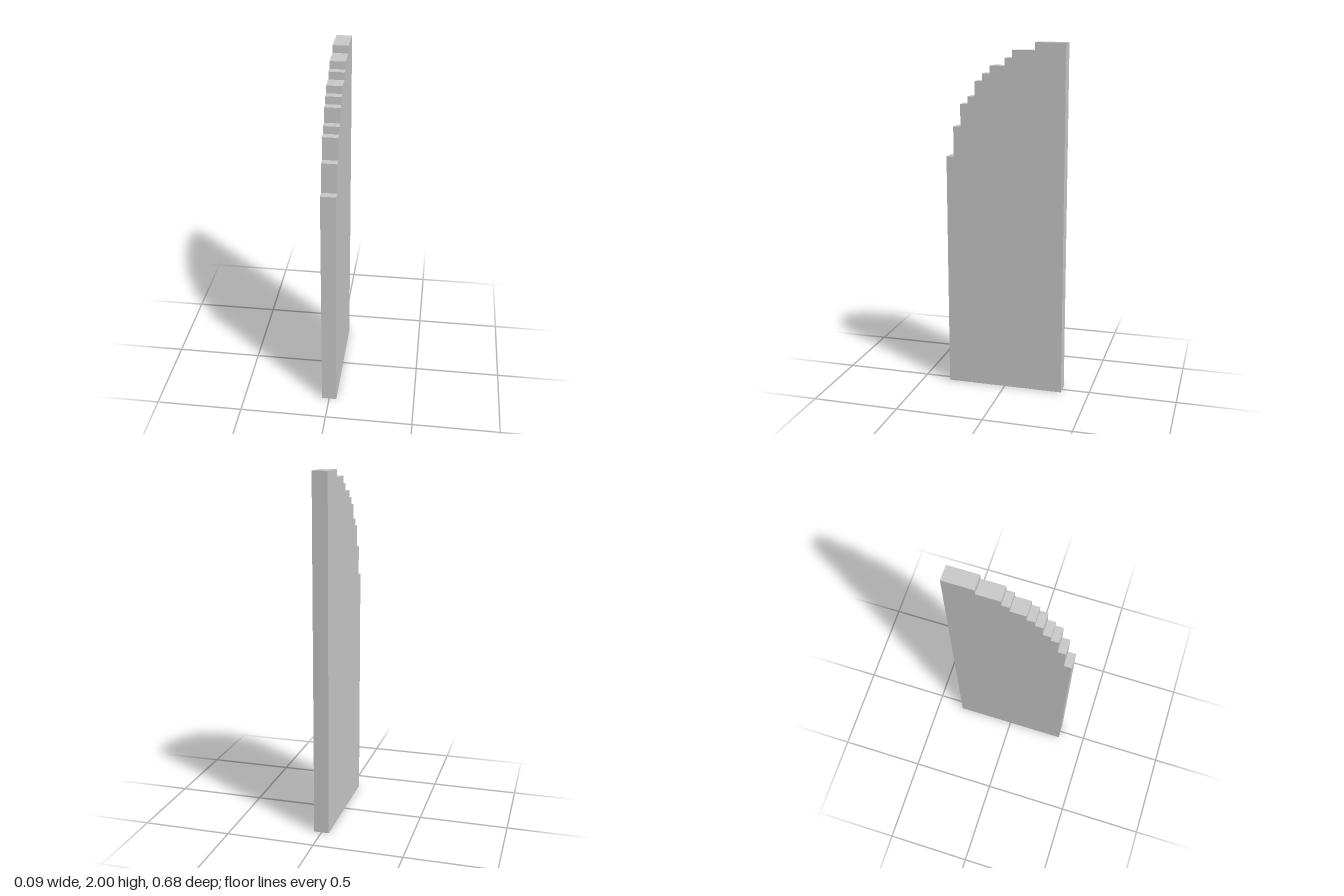
import * as THREE from 'three';

const U = 2 / 47; // one block unit: the panel is 47 units tall, 16 deep, 2 thick

// Stepped top, front to back: [front edge z, height] in units
const STEPS = [
  [8, 32], [7, 36], [6, 39], [5, 40], [4, 42],
  [3, 43], [2, 44], [0, 45], [-1, 46], [-4, 47],
];
const BACK = -8;
const THICKNESS = 2;

export function createModel() {
  const group = new THREE.Group();
  group.name = 'steppedPanel';

  // Side outline: x of the shape is the model's z
  const outline = new THREE.Shape();
  outline.moveTo(BACK * U, 0);
  outline.lineTo(STEPS[0][0] * U, 0);
  for (const [z, height] of STEPS) {
    outline.lineTo(z * U, height * U);
    const next = STEPS[STEPS.findIndex((s) => s[0] === z) + 1];
    outline.lineTo((next ? next[0] : BACK) * U, height * U);
  }
  outline.closePath();

  // Extrude across the thickness, then turn the outline to face sideways
  const geometry = new THREE.ExtrudeGeometry(outline, { depth: THICKNESS * U, bevelEnabled: false });
  geometry.translate(0, 0, -THICKNESS * U / 2);
  geometry.rotateY(-Math.PI / 2);

  const material = new THREE.MeshStandardMaterial({ color: 0xcccccc, flatShading: true });
  const panel = new THREE.Mesh(geometry, material);
  panel.name = 'panel';
  group.add(panel);
  return group;
}
